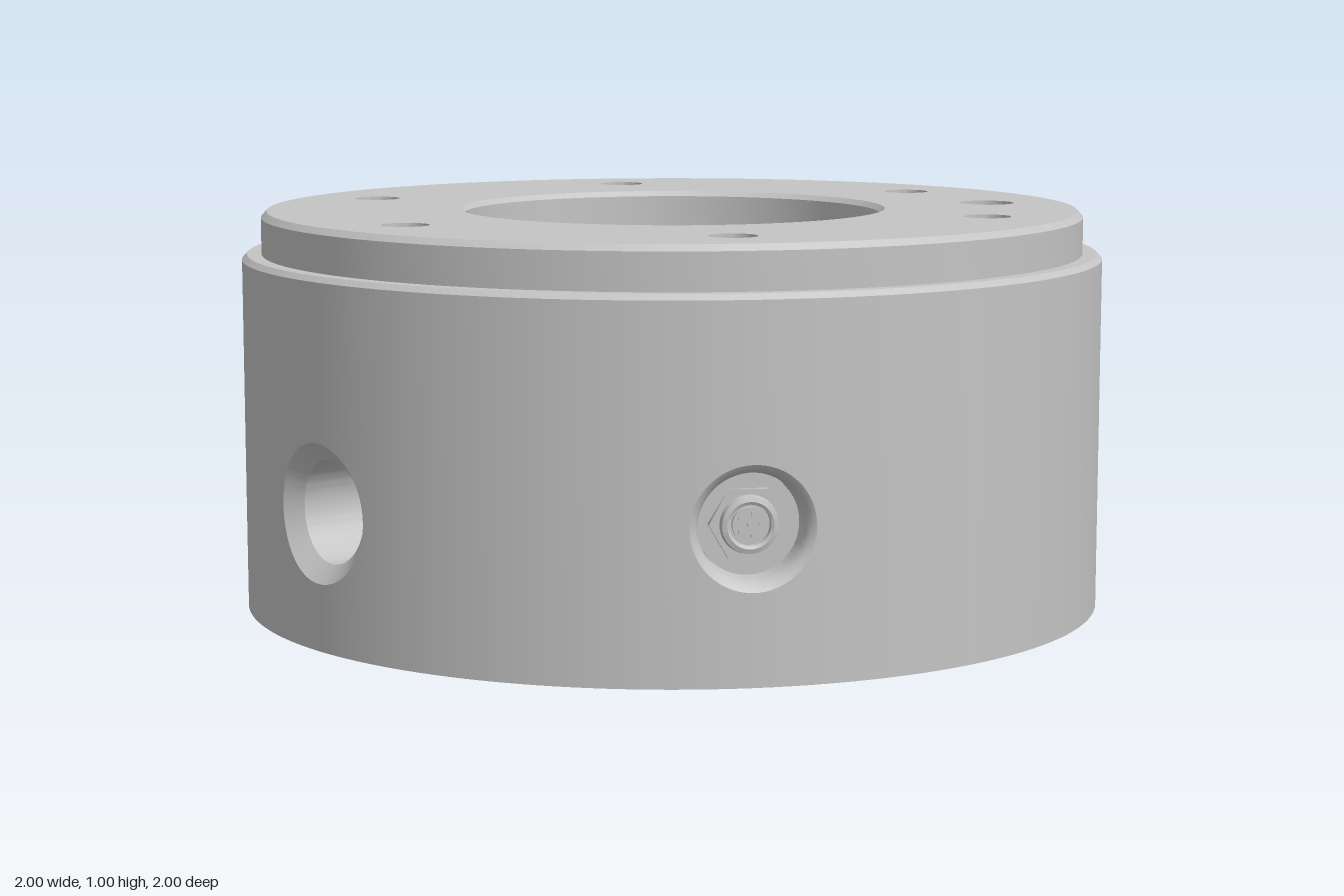
import * as THREE from 'three';
import { toCreasedNormals } from 'three/addons/utils/BufferGeometryUtils.js';

const SIDE = 24, SEG = SIDE * 6, STEP = Math.PI / 3;
const BOTTOM = 0.08, TOP = 0.89;
const metal = new THREE.MeshStandardMaterial({ color: 0xc4c4c4 });
metal.name = 'machined grey metal';

function part(parent, name, geometry) {
  const mesh = new THREE.Mesh(geometry, metal);
  mesh.name = name;
  parent.add(mesh);
  return mesh;
}

function lathe(points, segments = SEG) {
  const g = new THREE.LatheGeometry(points.map(p => new THREE.Vector2(...p)), segments);
  return toCreasedNormals(g, 0.5);
}

// Skin closed rings of [x, y, z] points, listed from the inside outward
function skin(rings) {
  const n = rings[0].length, index = [];
  for (let j = 0; j < rings.length - 1; j++) {
    for (let i = 0; i < n; i++) {
      const a = j * n + i, d = j * n + (i + 1) % n;
      index.push(a, a + n, d + n, a, d + n, d);
    }
  }
  const g = new THREE.BufferGeometry();
  g.setAttribute('position', new THREE.Float32BufferAttribute(rings.flat(2), 3));
  g.setIndex(index);
  g.computeVertexNormals();
  return g;
}

// Counter-clockwise points round a square from -1 to 1
function squarePath() {
  const path = [];
  for (let s = 0; s < 4; s++) {
    for (let i = 0; i < SIDE; i++) {
      const t = -1 + 2 * i / SIDE;
      path.push([[1, t], [-t, 1], [-1, -t], [t, -1]][s]);
    }
  }
  return path;
}

// 60 degree piece of the curved wall with a round opening
function wallSector(radius, cy) {
  const rings = [];
  for (let j = 0; j <= 10; j++) {
    const t = (j / 10) ** 1.5;
    rings.push(squarePath().map(([a, b]) => {
      const l = Math.hypot(a, b);
      const angle = THREE.MathUtils.lerp(Math.asin(radius * a / l), a * STEP / 2, t);
      const edge = b > 0 ? b * (TOP - cy) : b * (cy - BOTTOM);
      const y = cy + THREE.MathUtils.lerp(radius * b / l, edge, t);
      return [Math.sin(angle), y, Math.cos(angle)];
    }));
  }
  const g = skin(rings), p = g.attributes.position;
  for (let i = 0; i < p.count; i++) g.attributes.normal.setXYZ(i, p.getX(i), 0, p.getZ(i));
  return g;
}

// Recess with a shaped mouth; profile is [radius, depth] from centre to rim
function pocket(profile, cy) {
  const rings = profile.map(([r, d]) => squarePath().map(([a, b]) => {
    const l = Math.hypot(a, b), x = r * a / l;
    return [x, cy + r * b / l, Math.sqrt(1 - x * x) - d];
  }));
  return toCreasedNormals(skin(rings), 0.7);
}

// Cylinder lying along z from z0 to z1
function disc(r, z0, z1, sides = 40, r1 = r) {
  const g = new THREE.CylinderGeometry(r1, r, z1 - z0, sides);
  return g.rotateX(Math.PI / 2).translate(0, 0, (z0 + z1) / 2);
}

function smallConnector() {
  const g = new THREE.Group();
  g.name = 'smallConnector';
  part(g, 'flange', disc(0.11, 0.87, 0.925));
  part(g, 'hexNut', disc(0.085, 0.92, 0.94, 6).rotateZ(Math.PI / 6));
  const shell = [[0.064, 0.93], [0.06, 0.957], [0.05, 0.96], [0.044, 0.957], [0.044, 0.925]];
  part(g, 'shell', lathe(shell, 40).rotateX(Math.PI / 2));
  part(g, 'insert', disc(0.037, 0.93, 0.95));
  for (let i = 0; i < 6; i++) {
    const r = i ? 0.024 : 0, a = i * Math.PI * 2 / 5;
    part(g, 'pin', disc(0.006, 0.945, 0.956, 10).translate(r * Math.cos(a), r * Math.sin(a), 0));
  }
  return g;
}

function largeConnector() {
  const g = new THREE.Group();
  g.name = 'largeConnector';
  part(g, 'flange', disc(0.12, 0.86, 0.92));
  part(g, 'grippedRing', disc(0.1, 0.91, 0.932, 40, 0.092));
  part(g, 'plug', disc(0.055, 0.92, 0.945));
  for (let i = 0; i < 36; i++) {
    const rib = new THREE.BoxGeometry(0.008, 0.007, 0.012).translate(0.1, 0, 0.922);
    part(g, 'gripRib', rib.rotateZ(i * Math.PI / 18));
  }
  return g;
}

export function createModel() {
  const model = new THREE.Group();
  model.name = 'roundHousing';

  // Base with central boss
  part(model, 'baseAndBoss', lathe([[0, 0], [0.38, 0], [0.38, BOTTOM], [1, BOTTOM]]));

  // Shoulder, raised lip, and the recessed centre
  part(model, 'shoulderAndLip',
    lathe([[1, TOP], [0.988, 0.902], [0.955, 0.902], [0.955, 0.986], [0.942, 1]]));
  part(model, 'centreRecess', lathe([[0.497, 1], [0.485, 0.988], [0.485, 0.845], [0, 0.845]]));

  // Wall with side openings, one sector each 60 degrees
  const small = [[0, 0.12], [0.112, 0.12], [0.112, 0.04], [0.115, 0.022], [0.122, 0.008], [0.134, 0]];
  const large = [[0, 0.13], [0.122, 0.13], [0.122, 0.055], [0.128, 0.03], [0.14, 0.01], [0.158, 0]];
  const bore = [[0, 0.3], [0.115, 0.3], [0.115, 0.035], [0.155, 0]];
  const sectors = [
    { profile: small, cy: 0.415, fitting: smallConnector },
    null,
    { profile: large, cy: 0.42, fitting: largeConnector },
    { profile: small, cy: 0.415, fitting: smallConnector },
    { profile: large, cy: 0.42, fitting: largeConnector },
    { profile: bore, cy: 0.385 },
  ];
  sectors.forEach((s, i) => {
    const sector = new THREE.Group();
    sector.name = 'wallSector';
    sector.rotation.y = i * STEP;
    model.add(sector);
    if (!s) {
      const plain = new THREE.CylinderGeometry(1, 1, TOP - BOTTOM, SIDE, 1, true, -STEP / 2, STEP);
      part(sector, 'plainWall', plain.translate(0, (TOP + BOTTOM) / 2, 0));
      return;
    }
    part(sector, 'wall', wallSector(s.profile.at(-1)[0], s.cy));
    part(sector, 'sidePocket', pocket(s.profile, s.cy));
    if (s.fitting) {
      const fitting = s.fitting();
      fitting.position.y = s.cy;
      sector.add(fitting);
    }
  });

  // Top face with a bolt circle and one larger hole
  const holes = [[0.76, 0, 0.064]];
  for (let i = 0; i < 6; i++) {
    const a = i * STEP;
    holes.push([0.76 * Math.sin(a), 0.76 * Math.cos(a), 0.053]);
  }
  const face = new THREE.Shape().absarc(0, 0, 0.942, 0, Math.PI * 2);
  face.holes.push(new THREE.Path().absarc(0, 0, 0.497, 0, Math.PI * 2, true));
  for (const [x, z, r] of holes) {
    face.holes.push(new THREE.Path().absarc(x, -z, r, 0, Math.PI * 2, true));
    const hole = part(model, 'boltHole', lathe([[r, 1], [r, 0.84], [0, 0.81]], 72));
    hole.position.set(x, 0, z);
  }
  const topFace = new THREE.ShapeGeometry(face, 72).rotateX(-Math.PI / 2);
  part(model, 'topFace', topFace.translate(0, 1, 0));

  // Small locating mark at the back lower edge
  const mark = part(model, 'locatingMark', new THREE.BoxGeometry(0.024, 0.04, 0.009));
  mark.position.set(0, 0.101, -1);

  return model;
}
